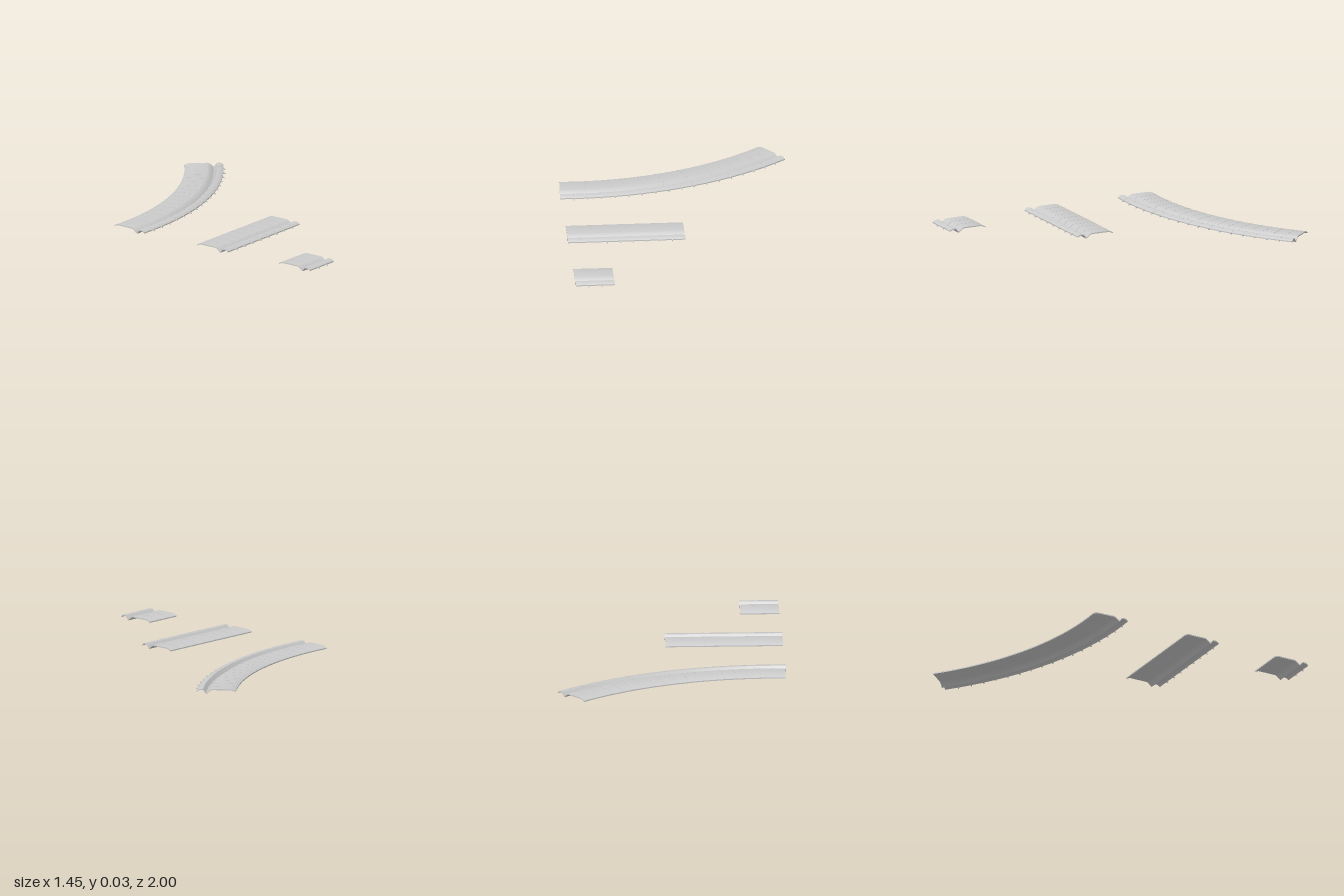
import * as THREE from 'three';
import { toCreasedNormals } from 'three/addons/utils/BufferGeometryUtils.js';

// Upper skin of the cross-section: [distance from back edge, height]
const TOP = [
  [0, 0.020], [0.006, 0.023], [0.028, 0.032], [0.148, 0.032], [0.158, 0.029], [0.176, 0.015],
  [0.183, 0.008], [0.188, 0.008], [0.195, 0.017], [0.206, 0.031], [0.231, 0.031], [0.246, 0.020],
];
const THICK = 0.007;
const LIP = 0.012;

// Closed cross-section: top skin forward, then the underside back again
function section(raise = 0, lip = 0) {
  const top = TOP.map(([d, y]) => [d, y + raise]);
  if (lip) top.push([TOP.at(-1)[0] + lip, 0.018]);
  const under = top.map(([d, y]) => [d, Math.max(0, y - raise - THICK)]).reverse();
  return [...top, ...under];
}

// Sweep the section along a path; place(t, d) gives [x, z]
function sweep(loop, place, t0, t1, steps) {
  const pos = [], idx = [], m = loop.length;
  for (let s = 0; s <= steps; s++) {
    const t = t0 + (t1 - t0) * s / steps;
    for (const [d, y] of loop) {
      const [x, z] = place(t, d);
      pos.push(x, y, z);
    }
  }
  const quad = (a, b, c, d) => idx.push(a, b, c, a, c, d);
  for (let s = 0; s < steps; s++) {
    for (let i = 0; i < m; i++) {
      const a = s * m + i, b = s * m + (i + 1) % m;
      quad(a, b, b + m, a + m);
    }
  }
  // End caps
  const e = steps * m;
  for (let i = 0; i < m / 2 - 1; i++) {
    const j = m - 1 - i;
    quad(i, j, j - 1, i + 1);
    quad(e + i, e + i + 1, e + j - 1, e + j);
  }
  const geo = new THREE.BufferGeometry();
  geo.setAttribute('position', new THREE.Float32BufferAttribute(pos, 3));
  geo.setIndex(idx);
  return toCreasedNormals(geo, 0.7);
}

// One run of equal panels with a narrow rib over every inner seam
function makeStrip(name, place, t0, t1, panels, ribHalf, material) {
  const strip = new THREE.Group();
  strip.name = name;
  const body = new THREE.Mesh(sweep(section(), place, t0, t1, panels), material);
  body.name = 'panels';
  strip.add(body);
  for (let i = 1; i < panels; i++) {
    const t = t0 + (t1 - t0) * i / panels;
    const rib = new THREE.Mesh(sweep(section(0.001, LIP), place, t - ribHalf, t + ribHalf, 1), material);
    rib.name = 'seamRib';
    strip.add(rib);
  }
  return strip;
}

export function createModel() {
  const group = new THREE.Group();
  group.name = 'channelStrips';
  const material = new THREE.MeshStandardMaterial({ color: 0xcccccc });

  // Straight pieces run along x from a back edge at z0
  const straight = (z0) => (t, d) => [t, z0 + d];
  group.add(makeStrip('shortStrip', straight(0.74), -0.723, -0.477, 3, 0.002, material));
  group.add(makeStrip('longStrip', straight(0.091), -0.723, 0.016, 9, 0.002, material));

  // Curved piece turns about a far centre behind it
  const cx = -0.616, cz = -2.412, r0 = 1.844;
  const arc = (t, d) => [cx + (r0 + d) * Math.sin(t), cz + (r0 + d) * Math.cos(t)];
  const deg = Math.PI / 180;
  group.add(makeStrip('curvedStrip', arc, -3 * deg, 40 * deg, 18, 0.001, material));
  return group;
}
